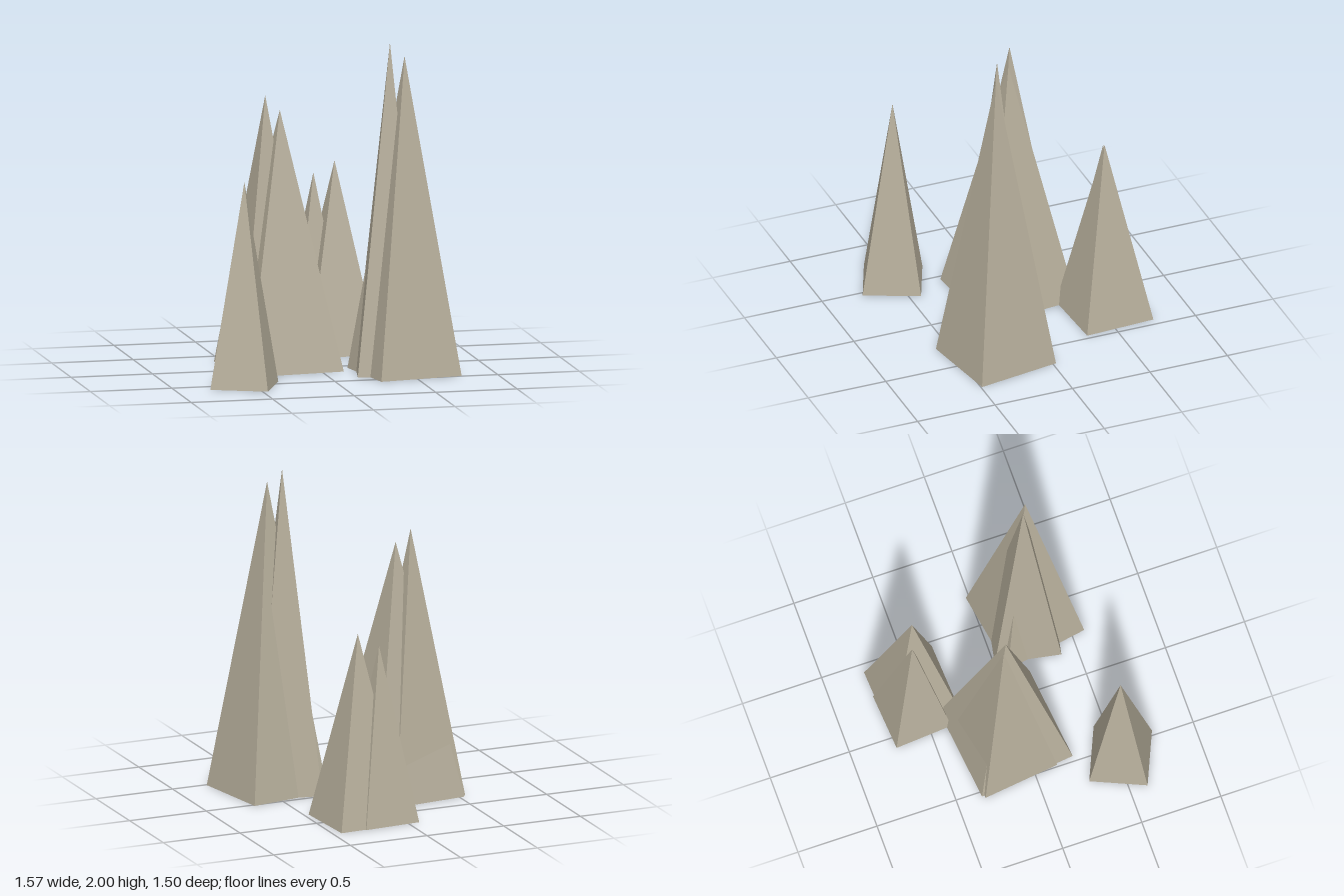
import * as THREE from 'three';

export function createModel() {
  const group = new THREE.Group();
  const stone = new THREE.MeshStandardMaterial({ color: 0xb5ad9a, flatShading: true });
  stone.name = 'paleStone';

  // Four-sided spire: apex above (x, z), one base corner offset by (dx, dz)
  function spire(name, x, z, height, dx, dz) {
    const geometry = new THREE.ConeGeometry(Math.hypot(dx, dz), height, 4);
    geometry.translate(0, height / 2, 0);
    const mesh = new THREE.Mesh(geometry, stone);
    mesh.name = name;
    mesh.position.set(x, 0, z);
    mesh.rotation.y = Math.atan2(dx, dz);
    group.add(mesh);
  }

  // Lone small spire
  spire('loneSpire', -0.56, 0.52, 1.235, 0.09, 0.23);

  // Tallest pair: a narrow spire fused into a wide one
  spire('tallSpireWide', 0.48, 0.28, 1.915, 0.3, 0.213);
  spire('tallSpireNarrow', 0.4, 0.24, 1.995, -0.16, -0.235);

  // Middle pair
  spire('middleSpireWide', -0.2, -0.08, 1.555, 0.33, 0.266);
  spire('middleSpireNarrow', -0.28, -0.12, 1.64, -0.265, -0.208);

  // Back pair
  spire('backSpireWide', 0.24, -0.52, 1.155, 0.23, 0.207);
  spire('backSpireNarrow', 0.12, -0.56, 1.08, -0.19, -0.165);

  return group;
}
